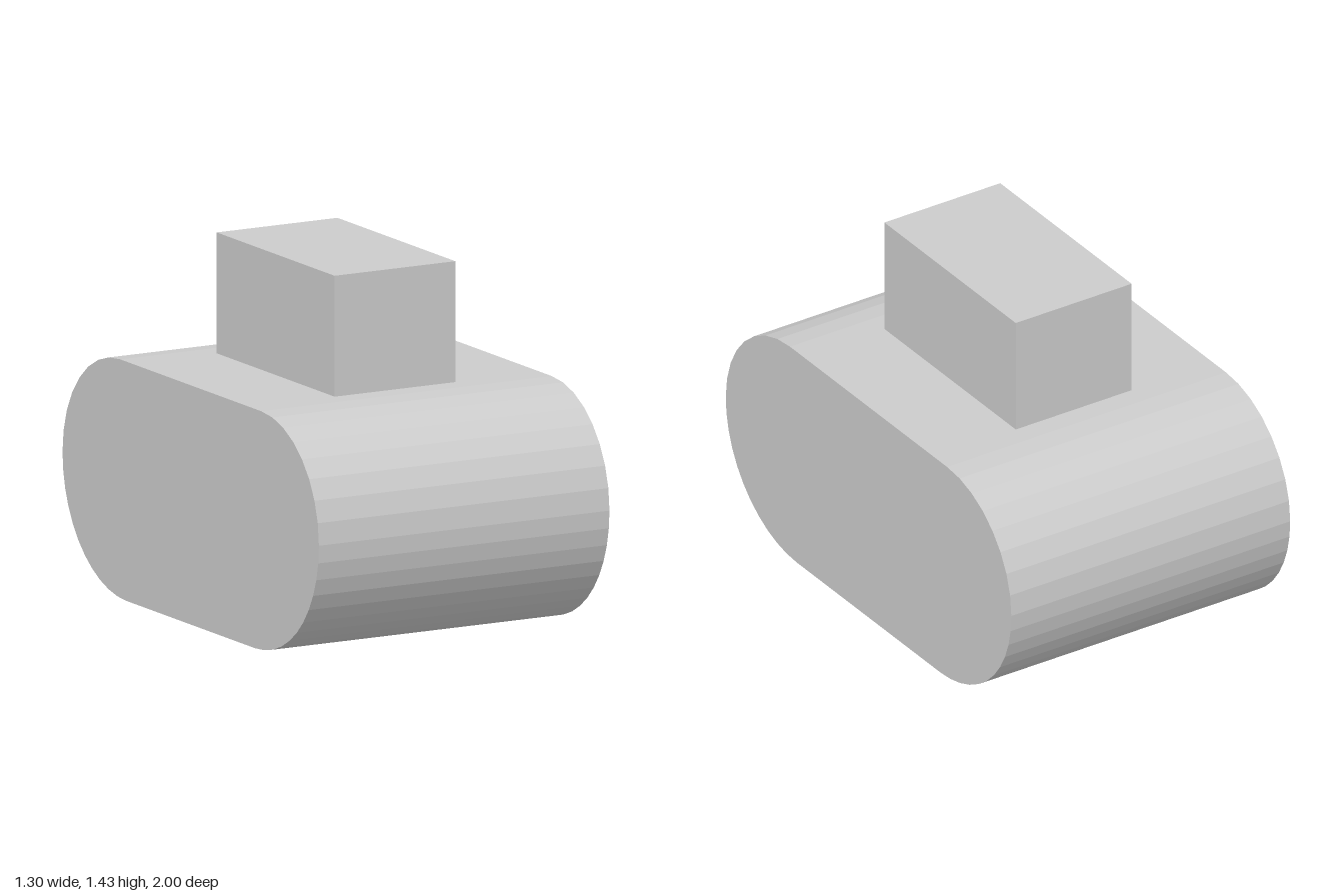
import * as THREE from 'three';

const material = new THREE.MeshStandardMaterial({ color: 0xcccccc, flatShading: true });

// Points of one rounded corner, from angle a0 to a1 in degrees
function corner(u, v, radius, a0, a1, segments) {
  return Array.from({ length: segments + 1 }, (_, i) => {
    const a = THREE.MathUtils.degToRad(a0 + ((a1 - a0) * i) / segments);
    return new THREE.Vector2(u + radius * Math.cos(a), v + radius * Math.sin(a));
  });
}

export function createModel() {
  const group = new THREE.Group();

  // Body: rounded side outline, slightly larger radius below, swept across x
  const width = 1.3;
  const outline = [
    ...corner(0.55, 0.5, 0.45, 0, 90, 8),
    ...corner(-0.55, 0.5, 0.45, 90, 180, 8),
    ...corner(-0.5, 0.5, 0.5, 180, 270, 11).slice(1),
    ...corner(0.5, 0.5, 0.5, 270, 360, 11).slice(0, -1),
  ];
  const bodyGeometry = new THREE.ExtrudeGeometry(new THREE.Shape(outline), {
    depth: width,
    bevelEnabled: false,
  });
  bodyGeometry.translate(0, 0, -width / 2).rotateY(Math.PI / 2);
  const body = new THREE.Mesh(bodyGeometry, material);
  body.name = 'body';
  group.add(body);

  // Block standing on the flat top
  const block = new THREE.Mesh(new THREE.BoxGeometry(0.54, 0.48, 0.92), material);
  block.position.y = 0.95 + 0.24;
  block.name = 'topBlock';
  group.add(block);

  return group;
}
